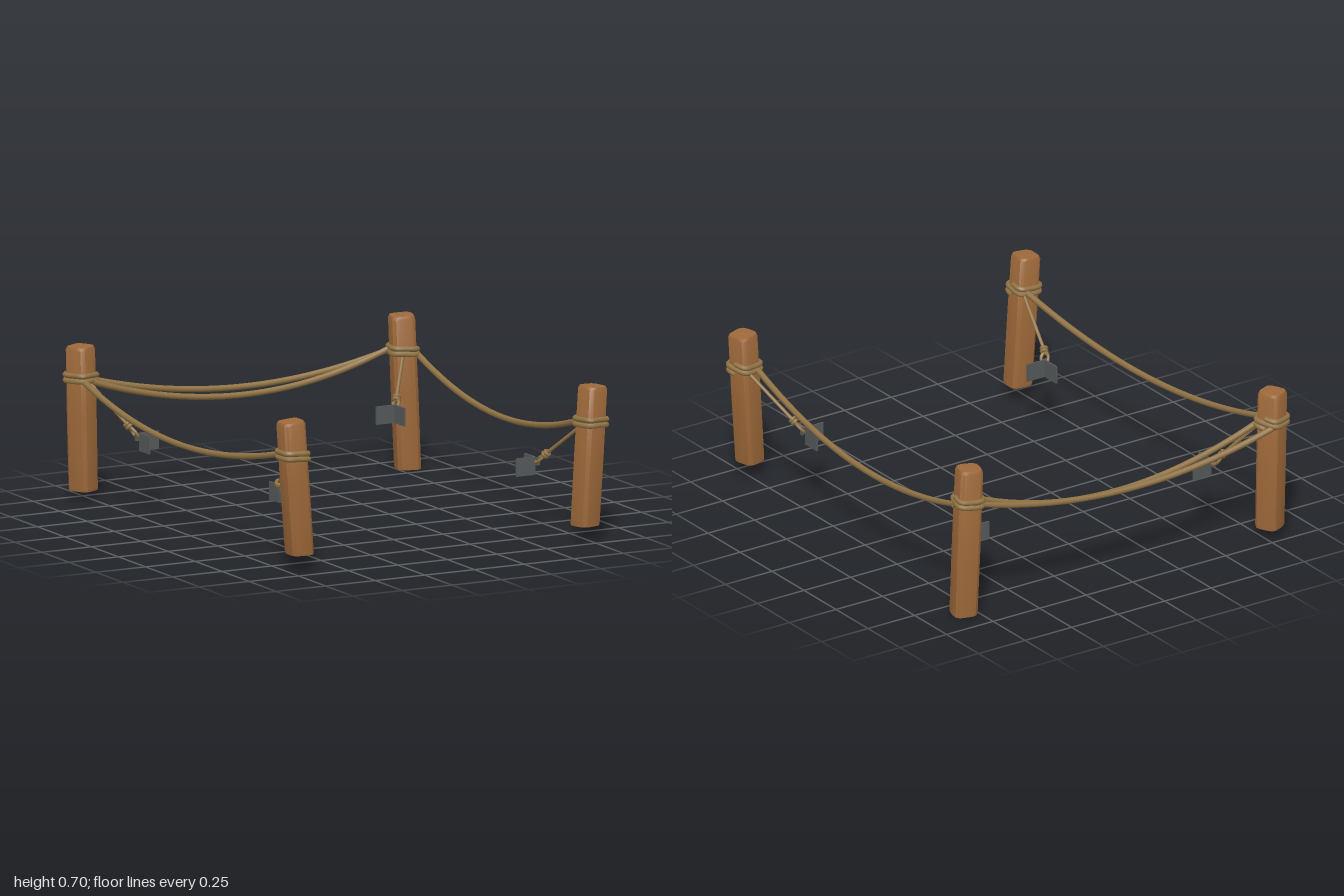
import * as THREE from 'three';
import { toCreasedNormals } from 'three/addons/utils/BufferGeometryUtils.js';

const V = (x, y, z) => new THREE.Vector3(x, y, z);
const wood = new THREE.MeshStandardMaterial({ name: 'wood', color: 0x9e693a });
const rope = new THREE.MeshStandardMaterial({ name: 'rope', color: 0x917345 });
const metal = new THREE.MeshStandardMaterial({ name: 'darkMetal', color: 0x545959 });

function add(group, name, geometry, material) {
  const mesh = new THREE.Mesh(geometry, material);
  mesh.name = name;
  group.add(mesh);
  return mesh;
}

// Rounded-square cross-section point at angle a
function section(a, half, rot) {
  const n = 4.2, c = Math.cos(a), s = Math.sin(a);
  const r = half / Math.pow(Math.abs(c) ** n + Math.abs(s) ** n, 1 / n);
  return [r * Math.cos(a + rot), r * Math.sin(a + rot)];
}

// Leaning post lofted from bottom to top; the chamfered head is cut square to the lean
function postGeometry({ bottom, top, rot }) {
  const sides = 20, pos = [], idx = [];
  const rings = [[0, 0], [0, 0.97], [0.015, 1], [0.5, 1.02], [0.975, 1], [0.995, 0.9], [1, 0]];
  const slope = (top.x - bottom.x) / (top.y - bottom.y);
  rings.forEach(([t, scale]) => {
    const c = bottom.clone().lerp(top, t);
    for (let i = 0; i < sides; i++) {
      const [x, z] = section((i / sides) * Math.PI * 2, 0.0555 * scale, rot);
      pos.push(c.x + x, c.y - (t > 0.9 ? x * slope : 0), c.z + z);
    }
  });
  for (let r = 0; r < rings.length - 1; r++) {
    for (let i = 0; i < sides; i++) {
      const j = (i + 1) % sides, a = r * sides + i, c = r * sides + j;
      const b = a + sides, d = c + sides;
      if (r > 0) idx.push(a, b, c);
      if (r < rings.length - 2) idx.push(b, d, c);
    }
  }
  const g = new THREE.BufferGeometry();
  g.setAttribute('position', new THREE.Float32BufferAttribute(pos, 3));
  g.setIndex(idx);
  return toCreasedNormals(g, 0.6);
}

// Two turns of rope wound tightly around a post
function wrapGeometry({ bottom, top, rot, wrapY }) {
  const pts = [], steps = 56;
  for (let i = 0; i <= steps; i++) {
    const t = i / steps, a = t * Math.PI * 4;
    const y = wrapY + 0.05 * (t - 0.5) + 0.006 * Math.sin(a);
    const c = bottom.clone().lerp(top, (y - bottom.y) / (top.y - bottom.y));
    const [x, z] = section(a, 0.059, rot);
    pts.push(V(c.x + x, y, c.z + z));
  }
  return new THREE.TubeGeometry(new THREE.CatmullRomCurve3(pts), 112, 0.0125, 7);
}

// Rope hanging between two points; mid is the point it passes halfway
function hangingRope(a, mid, b) {
  const control = mid.clone().multiplyScalar(2).addScaledVector(a, -0.5).addScaledVector(b, -0.5);
  return new THREE.TubeGeometry(new THREE.QuadraticBezierCurve3(a, control, b), 36, 0.0138, 8);
}

// Thin cord from a post to a bracket, with a knot and an end loop
function tether(start, knot, end) {
  const g = new THREE.Group();
  g.name = 'tether';
  add(g, 'cord', new THREE.TubeGeometry(new THREE.LineCurve3(start, knot), 2, 0.008, 7), rope);
  const dir = end.clone().sub(knot).normalize();
  for (let i = 0; i < 2; i++) {
    const coil = add(g, 'knotCoil', new THREE.TorusGeometry(0.012, 0.0085, 6, 12), rope);
    coil.position.copy(knot).addScaledVector(dir, i * 0.015 - 0.007);
    coil.quaternion.setFromUnitVectors(V(0, 0, 1), dir);
  }
  const loop = add(g, 'endLoop', new THREE.TorusGeometry(0.018, 0.0075, 6, 18), rope);
  loop.position.copy(knot).lerp(end, 0.6);
  loop.quaternion.setFromUnitVectors(V(0, 1, 0), dir);
  loop.scale.y = 1.5;
  return g;
}

// Two upright plates meeting at a corner
function bracket(x, z, sx, sz) {
  const g = new THREE.Group();
  g.name = 'bracket';
  const across = add(g, 'acrossPlate', new THREE.BoxGeometry(0.095, 0.082, 0.008), metal);
  across.position.set(x + sx * 0.0475, 0.287, z);
  const along = add(g, 'alongPlate', new THREE.BoxGeometry(0.008, 0.082, 0.092), metal);
  along.position.set(x, 0.287, z + sz * 0.046);
  const eye = add(g, 'bracketEye', new THREE.BoxGeometry(0.014, 0.035, 0.014), metal);
  eye.position.set(x - sx * 0.01, 0.308, z - sz * 0.01);
  return g;
}

export function createModel() {
  const model = new THREE.Group();
  model.name = 'ropeFence';

  const posts = [
    { name: 'frontRight', bottom: V(-0.698, 0.08, 0.912), top: V(-0.75, 0.69, 0.925), rot: 0.03, wrapY: 0.535,
      cord: V(-0.7, 0.525, 0.868), knot: V(-0.66, 0.348, 0.652), corner: [-0.627, 0.598, 1, -1] },
    { name: 'frontLeft', bottom: V(0.737, 0.07, 0.92), top: V(0.779, 0.698, 0.915), rot: -0.25, wrapY: 0.538,
      cord: V(0.785, 0.525, 0.855), knot: V(0.688, 0.348, 0.65), corner: [0.659, 0.598, -1, -1] },
    { name: 'backRight', bottom: V(-0.788, 0.045, -0.925), top: V(-0.803, 0.7, -0.925), rot: -0.45, wrapY: 0.558,
      cord: V(-0.78, 0.53, -0.868), knot: V(-0.664, 0.358, -0.74), corner: [-0.627, -0.698, 1, 1] },
    { name: 'backLeft', bottom: V(0.806, 0, -0.85), top: V(0.775, 0.7, -0.85), rot: 0.25, wrapY: 0.54,
      cord: V(0.755, 0.52, -0.8), knot: V(0.688, 0.348, -0.736), corner: [0.659, -0.698, -1, 1] },
  ];

  for (const p of posts) {
    add(model, p.name + 'Post', postGeometry(p), wood);
    add(model, p.name + 'Wrap', wrapGeometry(p), rope);
    const [x, z, sx, sz] = p.corner;
    model.add(tether(p.cord, p.knot, V(x - sx * 0.004, 0.305, z - sz * 0.004)));
    model.add(bracket(x, z, sx, sz));
  }

  // Hanging ropes: one on each side and a pair across the back
  const ropes = [
    ['rightSideRope', V(-0.817, 0.55, -0.88), V(-0.789, 0.412, 0), V(-0.712, 0.535, 0.87)],
    ['leftSideRope', V(0.836, 0.54, -0.87), V(0.789, 0.397, 0), V(0.737, 0.535, 0.87)],
    ['backOuterRope', V(-0.79, 0.55, -0.98), V(0, 0.428, -0.945), V(0.79, 0.545, -0.905)],
    ['backInnerRope', V(-0.77, 0.54, -0.872), V(0, 0.404, -0.887), V(0.72, 0.54, -0.88)],
  ];
  for (const [name, a, mid, b] of ropes) add(model, name, hangingRope(a, mid, b), rope);

  return model;
}
